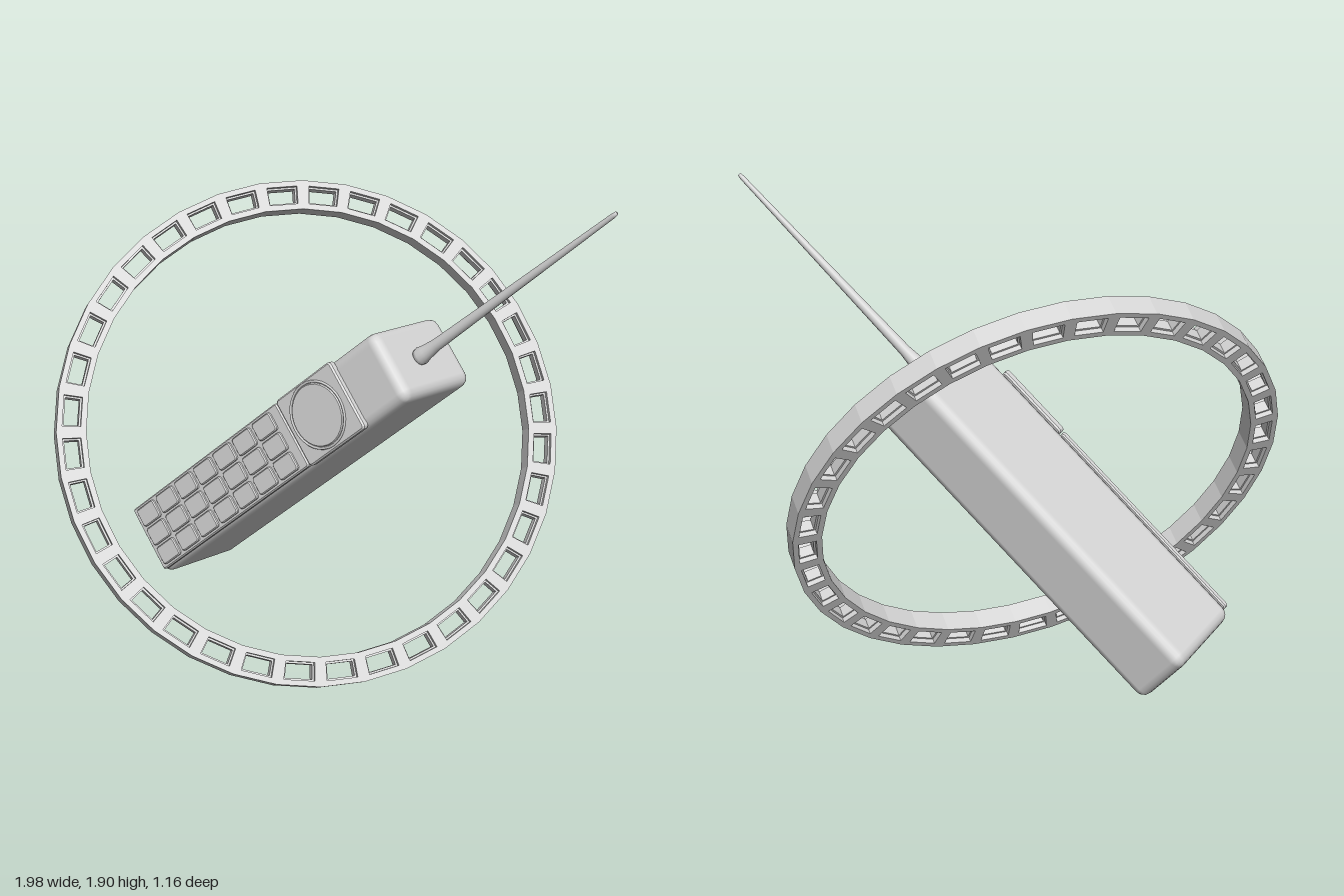
import * as THREE from 'three';
import { RoundedBoxGeometry } from 'three/addons/geometries/RoundedBoxGeometry.js';

const grey = new THREE.MeshStandardMaterial({ color: 0xd4d4d4 });
grey.name = 'grey';

function part(name, geometry, parent, x = 0, y = 0, z = 0) {
  const mesh = new THREE.Mesh(geometry, grey);
  mesh.name = name;
  mesh.position.set(x, y, z);
  parent.add(mesh);
  return mesh;
}

// Orients an object by its up and facing directions
function orient(object, up, facing) {
  const y = new THREE.Vector3(...up).normalize();
  const z = new THREE.Vector3(...facing);
  const x = new THREE.Vector3().crossVectors(y, z).normalize();
  z.crossVectors(x, y);
  object.quaternion.setFromRotationMatrix(new THREE.Matrix4().makeBasis(x, y, z));
}

const polar = (r, a) => new THREE.Vector2(r * Math.cos(a), r * Math.sin(a));

// One faceted ring layer pierced by windows; inset shrinks each window
function ringLayer(depth, inset) {
  const sides = 36, step = (Math.PI * 2) / sides;
  const circle = (r) => Array.from({ length: sides }, (_, i) => polar(r, (i + 0.5) * step));
  const shape = new THREE.Shape(circle(0.95));
  shape.holes.push(new THREE.Path(circle(0.84).reverse()));
  const inner = 0.86 + inset, outer = 0.928 - inset, h = step * 0.36 - inset;
  for (let i = 0; i < sides; i++) {
    const a = i * step;
    shape.holes.push(new THREE.Path([
      polar(inner, a - h), polar(inner, a + h), polar(outer, a + h), polar(outer, a - h),
    ]));
  }
  return new THREE.ExtrudeGeometry(shape, { depth, bevelEnabled: false });
}

// Ring with a small ledge inside every window
function buildRing() {
  const g = new THREE.Group();
  g.name = 'ring';
  const face = ringLayer(0.02, 0);
  part('ringBack', face, g, 0, 0, -0.042);
  part('ringCore', ringLayer(0.044, 0.007), g, 0, 0, -0.022);
  part('ringFront', face, g, 0, 0, 0.022);
  return g;
}

// Rounded rectangle plate rising from z = 0
function plate(w, h, r, depth, bevel) {
  const x = w / 2 - bevel, y = h / 2 - bevel;
  const s = new THREE.Shape();
  s.moveTo(-x + r, -y);
  s.lineTo(x - r, -y);
  s.quadraticCurveTo(x, -y, x, -y + r);
  s.lineTo(x, y - r);
  s.quadraticCurveTo(x, y, x - r, y);
  s.lineTo(-x + r, y);
  s.quadraticCurveTo(-x, y, -x, y - r);
  s.lineTo(-x, -y + r);
  s.quadraticCurveTo(-x, -y, -x + r, -y);
  return new THREE.ExtrudeGeometry(s, {
    depth: depth - bevel, bevelEnabled: true, bevelThickness: bevel, bevelSize: bevel,
    bevelSegments: 1, curveSegments: 3,
  });
}

// Handset, built upright and facing +z
function buildHandset() {
  const g = new THREE.Group();
  g.name = 'handset';
  const front = 0.2;
  part('body', new RoundedBoxGeometry(0.28, 1.45, 0.405, 2, 0.04), g);

  // Keypad panel with rows of raised keys
  part('keypadPanel', plate(0.265, 0.89, 0.008, 0.02, 0.005), g, -0.005, -0.25, front);
  const key = plate(0.074, 0.104, 0.01, 0.015, 0.004);
  for (let row = 0; row < 7; row++) {
    for (let col = -1; col <= 1; col++) {
      part('key', key, g, -0.005 + col * 0.083, -0.62 + row * 0.12, front + 0.016);
    }
  }

  // Earpiece panel with a round speaker rim and disc
  part('earpiecePanel', plate(0.276, 0.31, 0.01, 0.026, 0.006), g, -0.003, 0.355, front);
  part('speakerRim', new THREE.TorusGeometry(0.124, 0.005, 6, 32), g, -0.006, 0.348, front + 0.026);
  const disc = part('speakerDisc', new THREE.CylinderGeometry(0.114, 0.118, 0.006, 32), g, -0.006, 0.348, front + 0.028);
  disc.rotation.x = Math.PI / 2;

  // Tapered antenna with a thicker foot
  const profile = [
    [0, 0], [0.03, 0], [0.034, 0.02], [0.028, 0.045], [0.022, 0.1], [0.018, 0.35],
    [0.009, 0.99], [0.007, 1.006], [0, 1.008],
  ].map(([r, y]) => new THREE.Vector2(r, y));
  part('antenna', new THREE.LatheGeometry(profile, 14), g, 0, 0.72, 0.027);
  return g;
}

export function createModel() {
  const model = new THREE.Group();
  model.name = 'phoneAndRing';

  // Ring tilted back
  const ring = buildRing();
  orient(ring, [-0.12, 0.778, -0.428], [0.23, 0.496, 0.837]);
  ring.position.set(-0.061, 0.844, -0.03);
  model.add(ring);

  // Handset leaning through the ring
  const handset = buildHandset();
  orient(handset, [0.645, 0.665, 0.377], [-0.595, 0.125, 0.795]);
  handset.position.set(-0.112, 0.744, -0.102);
  model.add(handset);
  return model;
}
